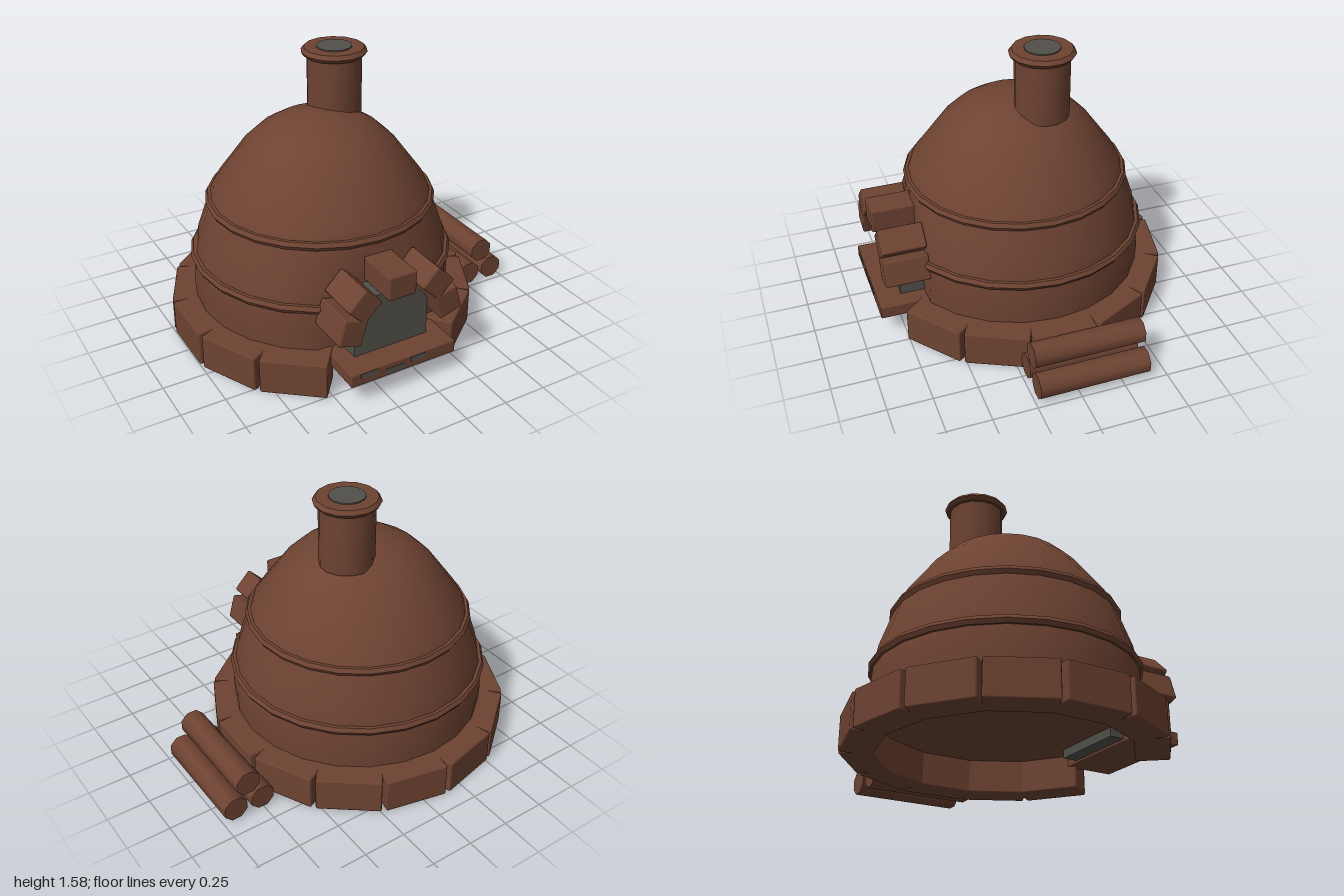
import * as THREE from 'three';
import { toCreasedNormals } from 'three/addons/utils/BufferGeometryUtils.js';
import { RoundedBoxGeometry } from 'three/addons/geometries/RoundedBoxGeometry.js';

const CX = -0.145, CZ = -0.02; // oven axis

export function createModel() {
  const clay = new THREE.MeshStandardMaterial({ color: 0x6e4332 });
  clay.name = 'clay';
  const soot = new THREE.MeshStandardMaterial({ color: 0x52504a });
  soot.name = 'soot';

  const group = new THREE.Group();
  const add = (name, geometry, material, x = 0, y = 0, z = 0) => {
    const mesh = new THREE.Mesh(geometry, material);
    mesh.name = name;
    mesh.position.set(x, y, z);
    group.add(mesh);
    return mesh;
  };
  const lathe = (pts, sides) =>
    new THREE.LatheGeometry(pts.map(([r, y]) => new THREE.Vector2(r, y)), sides);

  // Presses the front of a round form flat behind the oven mouth
  const flattenFront = (geometry, limit) => {
    const p = geometry.attributes.position;
    for (let i = 0; i < p.count; i++) p.setZ(i, Math.min(p.getZ(i), limit - CZ));
    geometry.computeVertexNormals();
    return toCreasedNormals(geometry, 0.75);
  };

  // Dome with closed underside
  const dome = lathe([[0, 0.19], [0.73, 0.19], [0.735, 0.3], [0.72, 0.45], [0.7, 0.56], [0.63, 0.76],
    [0.6, 0.84], [0.43, 1.07], [0.34, 1.155], [0.23, 1.22], [0.1, 1.255], [0, 1.265]], 24);
  add('dome', flattenFront(dome, 0.61), clay, CX, 0, CZ);

  // Raised bands around the dome
  for (const [name, y, r, limit] of [['lowerBand', 0.455, 0.72, 0.635], ['upperBand', 0.775, 0.62, 0.65]]) {
    const band = new THREE.TorusGeometry(r, 0.026, 6, 24).rotateX(Math.PI / 2);
    add(name, flattenFront(band, limit), clay, CX, y, CZ);
  }

  // Ring of base blocks, open at the front
  for (let i = 0; i < 14; i++) {
    if (i === 3 || i === 4) continue;
    const a = (i / 14) * Math.PI * 2, r = 0.762;
    const block = add('baseBlock', new RoundedBoxGeometry(0.186, 0.205, 0.362, 1, 0.01), clay,
      CX + Math.cos(a) * r, 0.1035, CZ + Math.sin(a) * r);
    block.rotation.y = -a;
  }

  // Dark oven mouth with cut corners
  const mouth = new THREE.Shape();
  [[-0.225, 0.14], [0.225, 0.14], [0.225, 0.43], [0.13, 0.54], [-0.13, 0.54], [-0.225, 0.43]]
    .forEach(([x, y], i) => (i ? mouth.lineTo(x, y) : mouth.moveTo(x, y)));
  add('ovenMouth', new THREE.ExtrudeGeometry(mouth, { depth: 0.25, bevelEnabled: false }), soot, CX, 0, 0.5);

  // Arch stones
  for (const [x, y, deg, w] of [[0, 0.622, 0, 0.165], [0.22, 0.565, 45, 0.145], [0.29, 0.43, 74, 0.15]]) {
    for (const s of x ? [-1, 1] : [1]) {
      const stone = add('archStone', new RoundedBoxGeometry(w, 0.138, 0.255, 1, 0.01), clay, CX + s * x, y, 0.727);
      stone.rotation.z = -s * THREE.MathUtils.degToRad(deg);
    }
  }

  // Hearth slab with soot marks on its front edge
  add('hearthSlab', new RoundedBoxGeometry(0.64, 0.073, 0.3, 1, 0.006), clay, CX, 0.163, 0.738);
  for (const [x, y, w] of [[-0.36, 0.18, 0.1], [-0.2, 0.155, 0.12], [-0.06, 0.175, 0.09]])
    add('sootMark', new THREE.BoxGeometry(w, 0.03, 0.004), soot, x, y, 0.888);

  // Chimney, its rim and the dark flue
  add('chimney', toCreasedNormals(new THREE.CylinderGeometry(0.154, 0.154, 0.38, 14), 0.8), clay, 0.01, 1.37, -0.125);
  const rim = lathe([[0.15, 1.53], [0.168, 1.53], [0.185, 1.552], [0.168, 1.574], [0, 1.574]], 14);
  add('chimneyRim', toCreasedNormals(rim, 0.6), clay, 0.01, 0, -0.125);
  add('flue', new THREE.CylinderGeometry(0.1, 0.1, 0.008, 14), soot, 0.01, 1.577, -0.125);

  // Stacked firewood
  for (const [x, y] of [[0.757, 0.08], [0.923, 0.08], [0.84, 0.222]]) {
    const log = new THREE.CylinderGeometry(0.074, 0.074, 0.63, 8).rotateY(Math.PI / 8).rotateX(Math.PI / 2);
    add('log', toCreasedNormals(log, 0.9), clay, x, y, -0.085);
  }

  return group;
}
